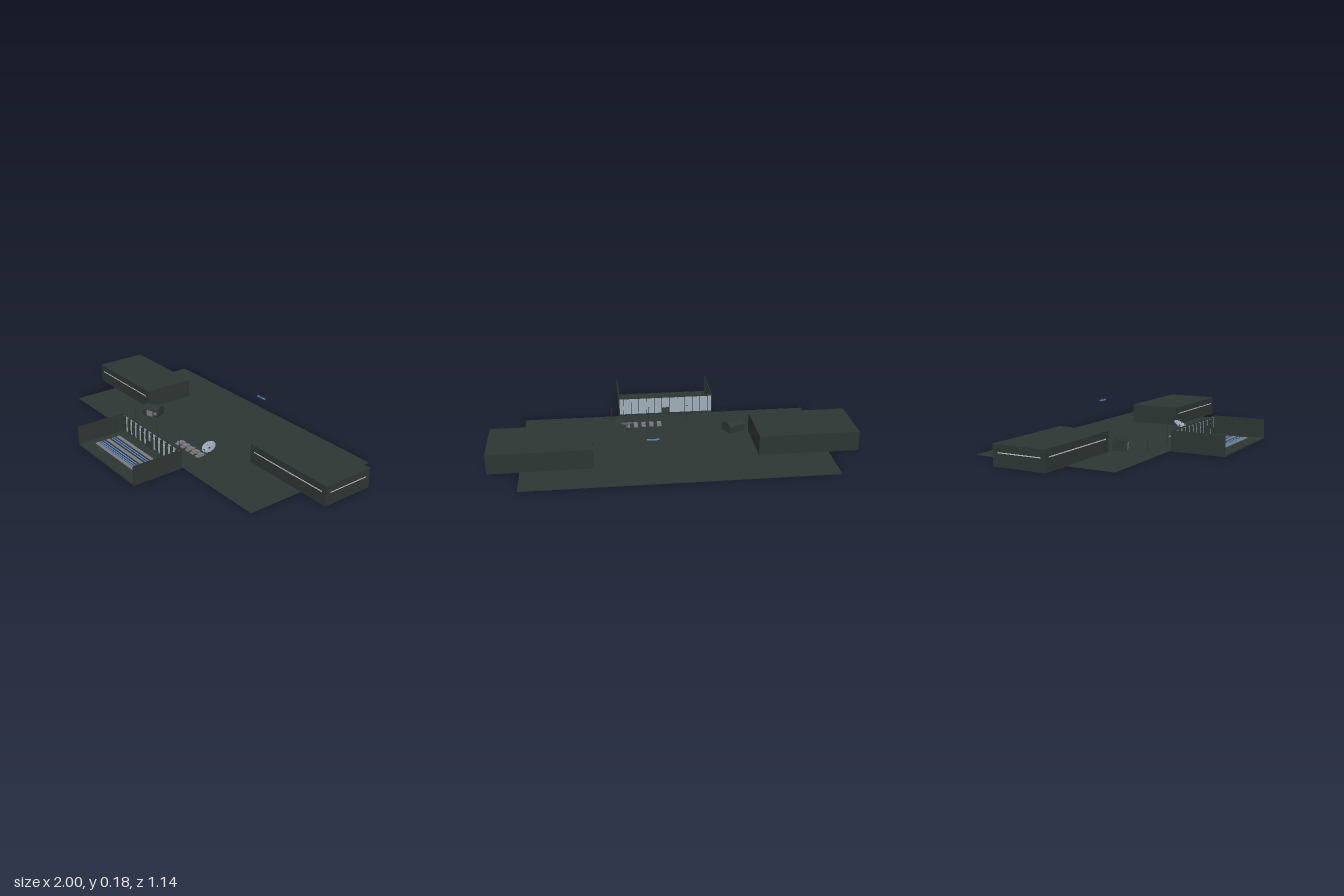
import * as THREE from 'three';

const mat = (name, color, side = THREE.FrontSide) => {
  const m = new THREE.MeshStandardMaterial({ color, side });
  m.name = name;
  return m;
};

export function createModel() {
  const dark = mat('dark concrete', 0x2d3633);
  const glass = mat('pale glass', 0x9fadb8);
  const light = mat('light strip', 0xc2c8d2);
  const grey = mat('grey furniture', 0x7a7980);
  const blue = mat('blue', 0x5c8cd0);
  const dishMat = mat('dish metal', 0x99a3b0, THREE.DoubleSide);

  const model = new THREE.Group();
  const add = (parent, name, geo, m, x = 0, y = 0, z = 0) => {
    const mesh = new THREE.Mesh(geo, m);
    mesh.name = name;
    mesh.position.set(x, y, z);
    parent.add(mesh);
    return mesh;
  };
  // Box given by its minimum and maximum on each axis
  const box = (parent, name, m, x0, x1, y0, y1, z0, z1) =>
    add(parent, name, new THREE.BoxGeometry(x1 - x0, y1 - y0, z1 - z0), m,
      (x0 + x1) / 2, (y0 + y1) / 2, (z0 + z1) / 2);
  const group = (name, x = 0, y = 0, z = 0) => {
    const g = new THREE.Group();
    g.name = name;
    g.position.set(x, y, z);
    model.add(g);
    return g;
  };

  // Ground slab
  box(model, 'ground', dark, -0.833, 0.83, 0, 0.002, -0.575, 0.257);

  // Side buildings with light strips on the front and the outer end
  for (const [name, s, z0, z1] of [['leftBuilding', 1, -0.377, -0.07], ['rightBuilding', -1, -0.322, -0.016]]) {
    const g = group(name);
    const x0 = s > 0 ? 0.445 : -1, x1 = s > 0 ? 1 : -0.447;
    box(g, 'block', dark, x0, x1, 0, 0.112, z0, z1);
    box(g, 'frontStrip', light, x0 + 0.028, x1 - 0.028, 0.07, 0.075, z1, z1 + 0.002);
    const end = s > 0 ? [0.999, 1.001] : [-1.001, -0.999];
    box(g, 'endStrip', light, ...end, 0.068, 0.073, z0 + 0.028, z1 - 0.028);
  }

  // Open hall: floor, side walls and glazed back wall with a doorway
  const hall = group('hall');
  box(hall, 'floor', dark, -0.28, 0.28, 0, 0.008, 0.262, 0.567);
  for (const s of [-1, 1]) {
    add(hall, 'sideWall', new THREE.BoxGeometry(0.005, 0.112, 0.305), dark, s * 0.278, 0.056, 0.4145);
    for (let i = 1; i < 6; i++) {
      add(hall, 'sideFin', new THREE.BoxGeometry(0.004, 0.1, 0.005), dark, s * 0.274, 0.056, 0.28 + i * 0.047);
    }
    box(hall, 'backGlass', glass, s < 0 ? -0.276 : 0.018, s < 0 ? -0.018 : 0.276, 0.008, 0.108, 0.266, 0.27);
    box(hall, 'doorPost', dark, s * 0.019 - 0.002, s * 0.019 + 0.002, 0.008, 0.042, 0.263, 0.273);
  }
  box(hall, 'glassOverDoor', glass, -0.018, 0.018, 0.042, 0.108, 0.266, 0.27);
  box(hall, 'doorLintel', dark, -0.021, 0.021, 0.038, 0.042, 0.263, 0.273);
  box(hall, 'topRail', dark, -0.278, 0.278, 0.107, 0.112, 0.262, 0.274);
  box(hall, 'wallStrip', light, -0.225, 0.225, 0.073, 0.076, 0.27, 0.272);
  for (let i = 0; i < 12; i++) {
    const x = -0.253 + i * 0.046;
    box(hall, 'glassFin', dark, x - 0.001, x + 0.001, 0.008, 0.108, 0.262, 0.288);
  }

  // Rows on the hall floor
  for (const z of [0.345, 0.412, 0.482]) {
    box(hall, 'bench', grey, -0.225, 0.225, 0.008, 0.012, z - 0.01, z + 0.01);
  }
  for (const z of [0.37, 0.385, 0.437, 0.452, 0.464]) {
    box(hall, 'floorStrip', blue, -0.225, 0.225, 0.008, 0.011, z - 0.0025, z + 0.0025);
  }

  // Gabled hut, turned toward the yard
  const hut = group('hut', -0.365, 0, 0.006);
  hut.rotation.y = 0.46;
  const gable = new THREE.Shape([[-0.04, 0], [0.04, 0], [0.04, 0.042], [0.012, 0.061], [-0.012, 0.061], [-0.04, 0.042]]
    .map(p => new THREE.Vector2(...p)));
  const body = new THREE.ExtrudeGeometry(gable, { depth: 0.104, bevelEnabled: false });
  body.translate(0, 0, -0.052).rotateY(Math.PI / 2);
  add(hut, 'hutBody', body, dark);
  box(hut, 'hutDoor', grey, -0.022, 0.016, 0.003, 0.038, 0.04, 0.042);
  box(hut, 'hutWindow', grey, 0.026, 0.044, 0.015, 0.034, 0.04, 0.042);

  // Stepped tables in a row
  for (let i = 0; i < 5; i++) {
    const t = group('table', 0.055 + i * 0.0455, 0, 0.109);
    box(t, 'tableLeg', dark, -0.005, 0.005, 0.002, 0.008, -0.01, 0.01);
    box(t, 'tableBase', grey, -0.012, 0.012, 0.007, 0.013, -0.028, 0.028);
    box(t, 'tableTop', grey, -0.012, 0.012, 0.013, 0.02, -0.015, 0.015);
  }

  // Tilted dish with feed and stand
  const dish = group('dish', 0.245, 0.046, 0.055);
  dish.rotation.x = 0.52;
  const bowl = [[0.0001, -0.007], [0.02, -0.004], [0.041, 0.005]].map(p => new THREE.Vector2(...p));
  add(dish, 'dishBowl', new THREE.LatheGeometry(bowl, 20), dishMat);
  add(dish, 'dishHub', new THREE.CylinderGeometry(0.005, 0.005, 0.004, 12), dark, 0, -0.005, 0);
  add(dish, 'dishFeed', new THREE.SphereGeometry(0.003, 8, 6), dark, 0, 0.017, 0);
  add(model, 'dishStand', new THREE.CylinderGeometry(0.003, 0.005, 0.04, 8), dark, 0.245, 0.02, 0.052);

  // Lamp posts along the front
  for (const x of [-0.335, -0.112, 0.11, 0.33]) {
    const lamp = group('lampPost', x, 0, 0.153);
    add(lamp, 'pole', new THREE.CylinderGeometry(0.0012, 0.0016, 0.1, 6), dark, 0, 0.05, 0);
    box(lamp, 'lampHead', dark, -0.005, 0.002, 0.097, 0.1, -0.002, 0.003);
  }

  // Hovering sign, lit on the front and back
  const sign = group('hoverSign', 0.135, 0.176, -0.416);
  box(sign, 'signBody', dark, -0.035, 0.035, -0.006, 0.006, -0.004, 0.004);
  for (const s of [-1, 1]) {
    add(sign, 'signPanel', new THREE.BoxGeometry(0.064, 0.008, 0.002), blue, 0, 0, s * 0.0045);
    add(sign, 'signPod', new THREE.BoxGeometry(0.018, 0.003, 0.003), dark, 0, 0.005, s * 0.005);
  }

  return model;
}
